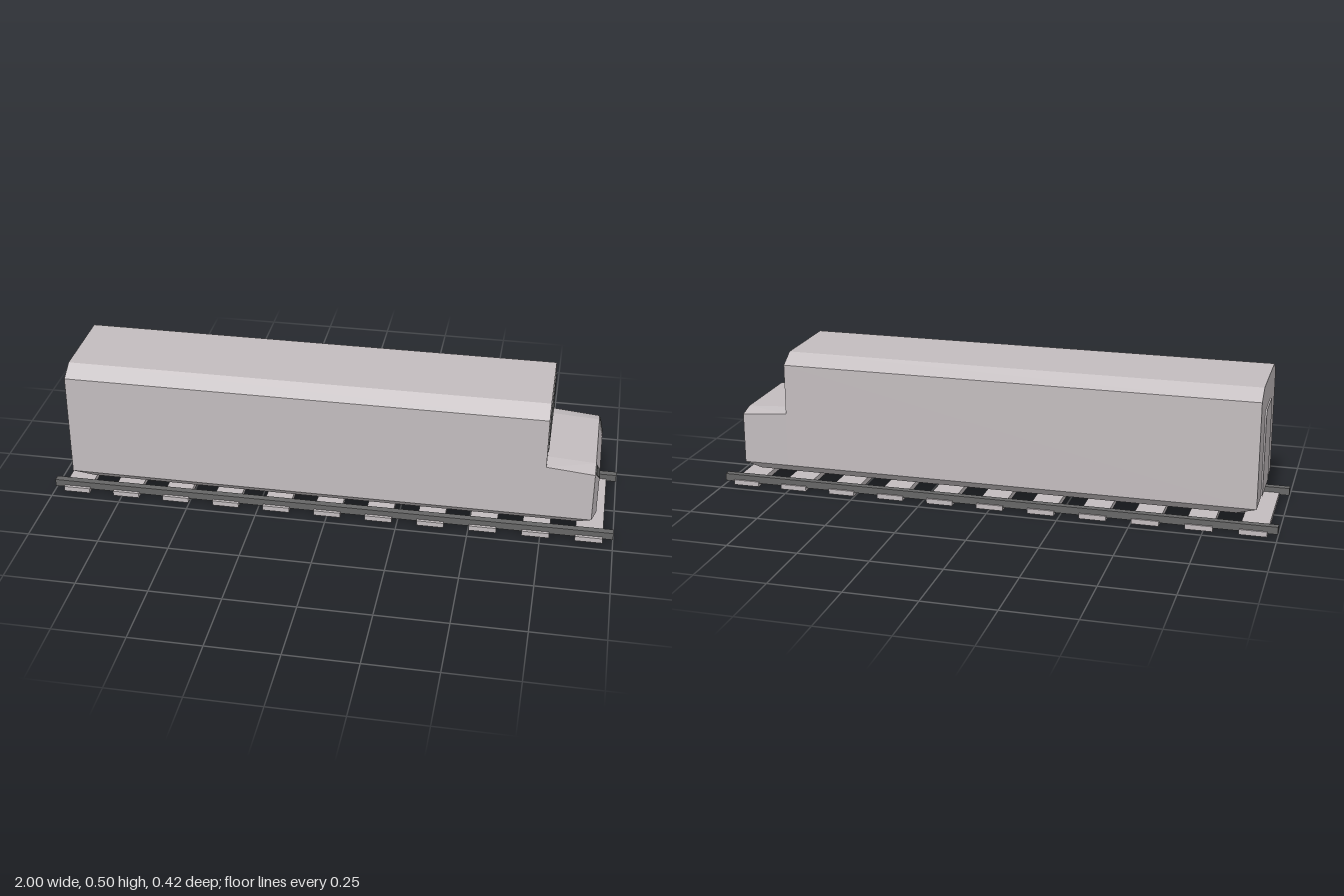
import * as THREE from 'three';
import { ConvexGeometry } from 'three/addons/geometries/ConvexGeometry.js';

const shell = new THREE.MeshStandardMaterial({ color: 0xc3bdbf });
shell.name = 'pale grey';
const dark = new THREE.MeshStandardMaterial({ color: 0x666666 });
dark.name = 'dark grey';

function add(parent, name, geometry, material, x = 0, y = 0, z = 0) {
  const mesh = new THREE.Mesh(geometry, material);
  mesh.name = name;
  mesh.position.set(x, y, z);
  parent.add(mesh);
  return mesh;
}

// Faceted solid from corners [x, y, z], each mirrored across z = 0
function mirroredHull(corners) {
  const points = [];
  for (const [x, y, z] of corners) {
    points.push(new THREE.Vector3(x, y, z), new THREE.Vector3(x, y, -z));
  }
  return new ConvexGeometry(points);
}

export function createModel() {
  const model = new THREE.Group();
  model.name = 'locomotiveOnTrack';

  const loco = new THREE.Group();
  loco.name = 'locomotive';
  loco.position.z = 0.005;
  model.add(loco);

  // Long car body with chamfered roof and underside
  add(loco, 'carBody', mirroredHull([
    [-0.925, 0.5, 0.148], [0.755, 0.5, 0.148],
    [-0.925, 0.465, 0.205], [0.755, 0.465, 0.205],
    [-0.925, 0.09, 0.205], [0.755, 0.09, 0.205],
    [-0.855, 0.062, 0.178], [0.755, 0.062, 0.178],
  ]), shell);

  // Low nose with bevelled front corners
  add(loco, 'nose', mirroredHull([
    [0.755, 0.295, 0.15], [0.755, 0.285, 0.205],
    [0.755, 0.09, 0.205], [0.755, 0.062, 0.178],
    [0.92, 0.285, 0.15], [0.92, 0.27, 0.205],
    [0.935, 0.235, 0.115], [0.935, 0.225, 0.155],
    [0.935, 0.092, 0.155], [0.92, 0.09, 0.205],
    [0.87, 0.062, 0.178],
  ]), shell);

  // Windscreen
  add(loco, 'windscreen', new THREE.BoxGeometry(0.006, 0.147, 0.295), dark, 0.755, 0.387, 0);

  // Headlights lying on the slanted nose corners
  const lamp = [[0.267, 0.195], [0.28, 0.153], [0.245, 0.125], [0.232, 0.155]];
  for (const side of [1, -1]) {
    const points = [];
    for (const [y, z] of lamp) {
      const x = 0.92 - 0.252 * (y - 0.285) - 0.069 * (z - 0.15);
      for (const lift of [-0.003, 0.003]) points.push(new THREE.Vector3(x + lift, y, z * side));
    }
    add(loco, side > 0 ? 'leftHeadlight' : 'rightHeadlight', new ConvexGeometry(points), dark);
  }

  // Rear door with rounded top corners
  const w = 0.085, top = 0.4, r = 0.025;
  const outline = new THREE.Shape();
  outline.moveTo(-w, 0.095);
  outline.lineTo(w, 0.095);
  outline.lineTo(w, top - r);
  outline.quadraticCurveTo(w, top, w - r, top);
  outline.lineTo(-w + r, top);
  outline.quadraticCurveTo(-w, top, -w, top - r);
  const door = new THREE.ExtrudeGeometry(outline, { depth: 0.006, bevelEnabled: false, curveSegments: 4 });
  add(loco, 'rearDoor', door, shell, -0.924, 0, 0).rotation.y = -Math.PI / 2;

  // Track: two rails on eleven sleepers
  const track = new THREE.Group();
  track.name = 'track';
  model.add(track);
  const railGeometry = new THREE.BoxGeometry(2, 0.026, 0.025);
  add(track, 'leftRail', railGeometry, dark, 0, 0.024, 0.1875);
  add(track, 'rightRail', railGeometry, dark, 0, 0.024, -0.1925);
  const sleeperGeometry = new THREE.BoxGeometry(0.095, 0.018, 0.422);
  for (let i = 0; i < 11; i++) {
    add(track, 'sleeper', sleeperGeometry, shell, -0.9175 + i * 0.1835, 0.009, 0);
  }
  return model;
}
